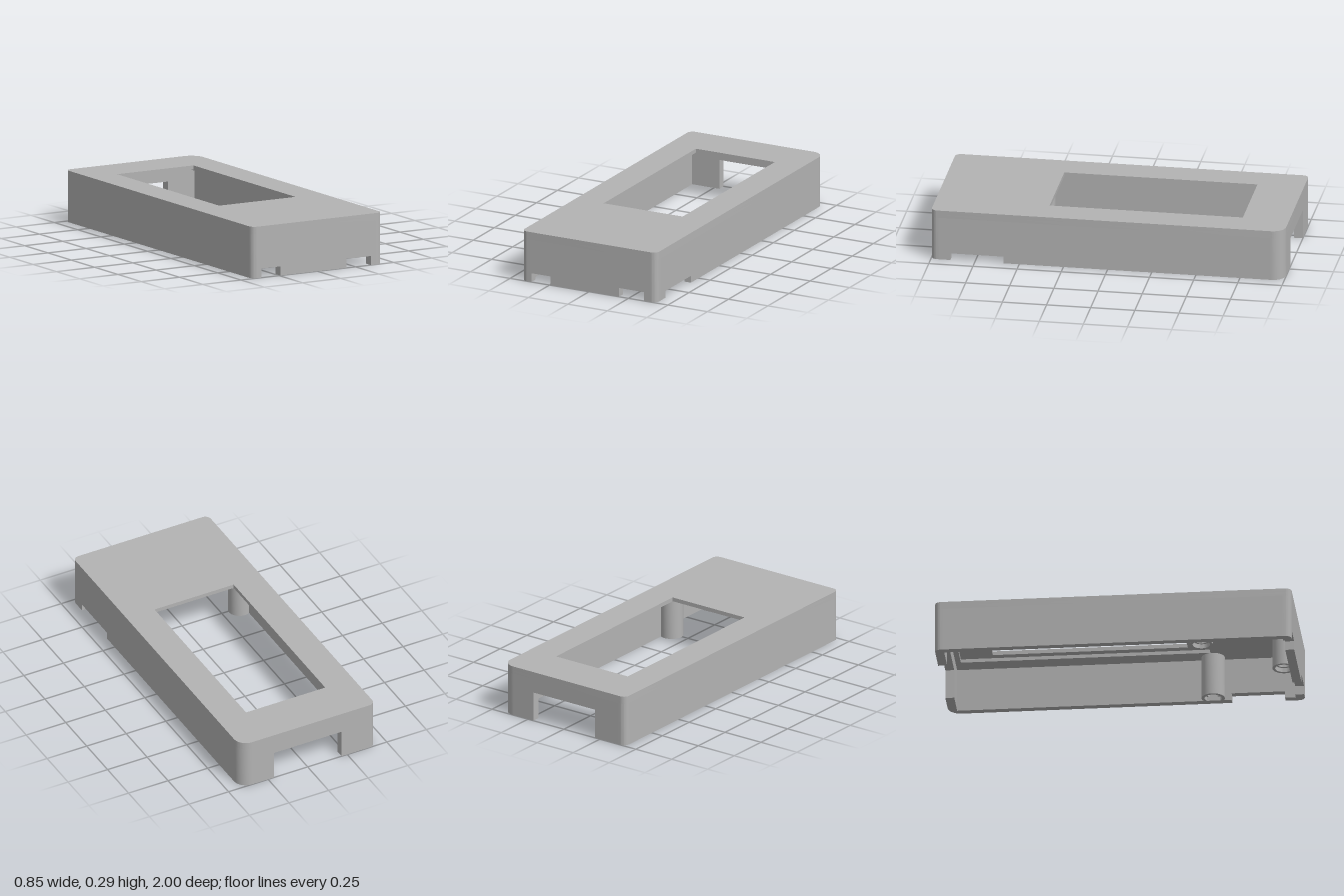
import * as THREE from 'three';
import { toCreasedNormals } from 'three/addons/utils/BufferGeometryUtils.js';

const HX = 0.427, HZ = 1;            // half width and half length
const TX = 0.04, TZ = 0.05;          // side and end wall thickness
const Y_CEIL = 0.25, Y_LID = 0.27, Y_TOP = 0.293;
const R = 0.035, R_BIG = 0.075;      // corner radii

export function createModel() {
  const group = new THREE.Group();
  group.name = 'enclosureShell';
  const plastic = new THREE.MeshStandardMaterial({ color: 0xb3b3b3 });
  plastic.name = 'greyPlastic';

  function add(name, geometry) {
    const mesh = new THREE.Mesh(toCreasedNormals(geometry, 0.5), plastic);
    mesh.name = name;
    group.add(mesh);
    return mesh;
  }
  const extrude = (shape, depth) =>
    new THREE.ExtrudeGeometry(shape, { depth, bevelEnabled: false, curveSegments: 12 });
  // Plan shapes use (x, -z) and are extruded upwards
  const slab = (shape, y0, y1) =>
    extrude(shape, y1 - y0).rotateX(-Math.PI / 2).translate(0, y0, 0);

  // Plan outline with one larger back corner
  function outline() {
    const s = new THREE.Shape();
    s.moveTo(-HX + R, -HZ);
    s.lineTo(HX - R, -HZ);
    s.absarc(HX - R, -HZ + R, R, -Math.PI / 2, 0);
    s.lineTo(HX, HZ - R_BIG);
    s.absarc(HX - R_BIG, HZ - R_BIG, R_BIG, 0, Math.PI / 2);
    s.lineTo(-HX + R, HZ);
    s.absarc(-HX + R, HZ - R, R, Math.PI / 2, Math.PI);
    s.lineTo(-HX, -HZ + R);
    s.absarc(-HX + R, -HZ + R, R, Math.PI, Math.PI * 1.5);
    return s;
  }
  function plateWithHole(x, zBack, zFront) {
    const s = outline();
    s.holes.push(new THREE.Path([[-x, -zFront], [-x, -zBack], [x, -zBack], [x, -zFront]]
      .map(([a, b]) => new THREE.Vector2(a, b))));
    return s;
  }

  // Top plate with the window, and the layer below with the wider recess
  add('topPlate', slab(plateWithHole(0.25, -0.737, 0.357), Y_LID, Y_TOP));
  add('windowRecess', slab(plateWithHole(0.29, -0.92, 0.48), Y_CEIL, Y_LID));

  // Wall elevation from u0 to u1, with cuts [start, end, height] in its lower edge
  function wallShape(u0, u1, cuts) {
    const s = new THREE.Shape();
    s.moveTo(u0, 0);
    for (const [a, b, h] of cuts) {
      s.lineTo(a, 0);
      s.lineTo(a, h);
      s.lineTo(b, h);
      s.lineTo(b, 0);
    }
    s.lineTo(u1, 0);
    s.lineTo(u1, Y_CEIL);
    s.lineTo(u0, Y_CEIL);
    return s;
  }
  const C = 0.05, C_BIG = 0.08;      // corner piece sizes
  add('frontWall', extrude(wallShape(-HX + C, HX - C,
    [[-0.365, -0.243, 0.052], [0.19, 0.35, 0.052]]), TZ).translate(0, 0, HZ - TZ));
  add('backWall', extrude(wallShape(-HX + C, HX - C_BIG,
    [[-0.215, 0.213, 0.17]]), TZ).translate(0, 0, -HZ));
  add('leftWall', extrude(wallShape(-HZ + C_BIG, HZ - C, [[0.59, 0.89, 0.04]]), TX)
    .rotateY(-Math.PI / 2).translate(HX, 0, 0));
  add('rightWall', extrude(wallShape(-HZ + C, HZ - C, []), TX)
    .rotateY(-Math.PI / 2).translate(-HX + TX, 0, 0));

  // L-shaped wall corners, rounded outside and square inside
  function corner(name, sx, sz, r, c) {
    const pts = [[HX - c, HZ]];
    for (let i = 0; i <= 12; i++) {
      const a = Math.PI / 2 * (1 - i / 12);
      pts.push([HX - r + r * Math.cos(a), HZ - r + r * Math.sin(a)]);
    }
    pts.push([HX, HZ - c], [HX - TX, HZ - c]);
    if (c > TZ) pts.push([HX - TX, HZ - TZ]);
    else pts.push([HX - TX, HZ - TZ]);
    pts.push([HX - c, HZ - TZ]);
    const s = new THREE.Shape(pts
      .filter((p, i) => i === 0 || Math.hypot(p[0] - pts[i - 1][0], p[1] - pts[i - 1][1]) > 1e-6)
      .map(([x, z]) => new THREE.Vector2(sx * x, -sz * z)));
    add(name, slab(s, 0, Y_CEIL));
  }
  corner('frontLeftCorner', 1, 1, R, C);
  corner('frontRightCorner', -1, 1, R, C);
  corner('backLeftCorner', 1, -1, R_BIG, C_BIG);
  corner('backRightCorner', -1, -1, R, C);

  // Hollow screw posts hanging from the ceiling
  const profile = [[0, 0.18], [0.038, 0.18], [0.038, 0.025], [0.049, 0.025],
    [0.049, 0], [0.065, 0], [0.065, Y_CEIL]].map(([x, y]) => new THREE.Vector2(x, y));
  for (const [name, x, z] of [['frontPost', 0, 0.92], ['leftPost', 0.356, 0.49], ['rightPost', -0.356, 0.49]]) {
    add(name, new THREE.LatheGeometry(profile, 32)).position.set(x, 0, z);
  }
  return group;
}
